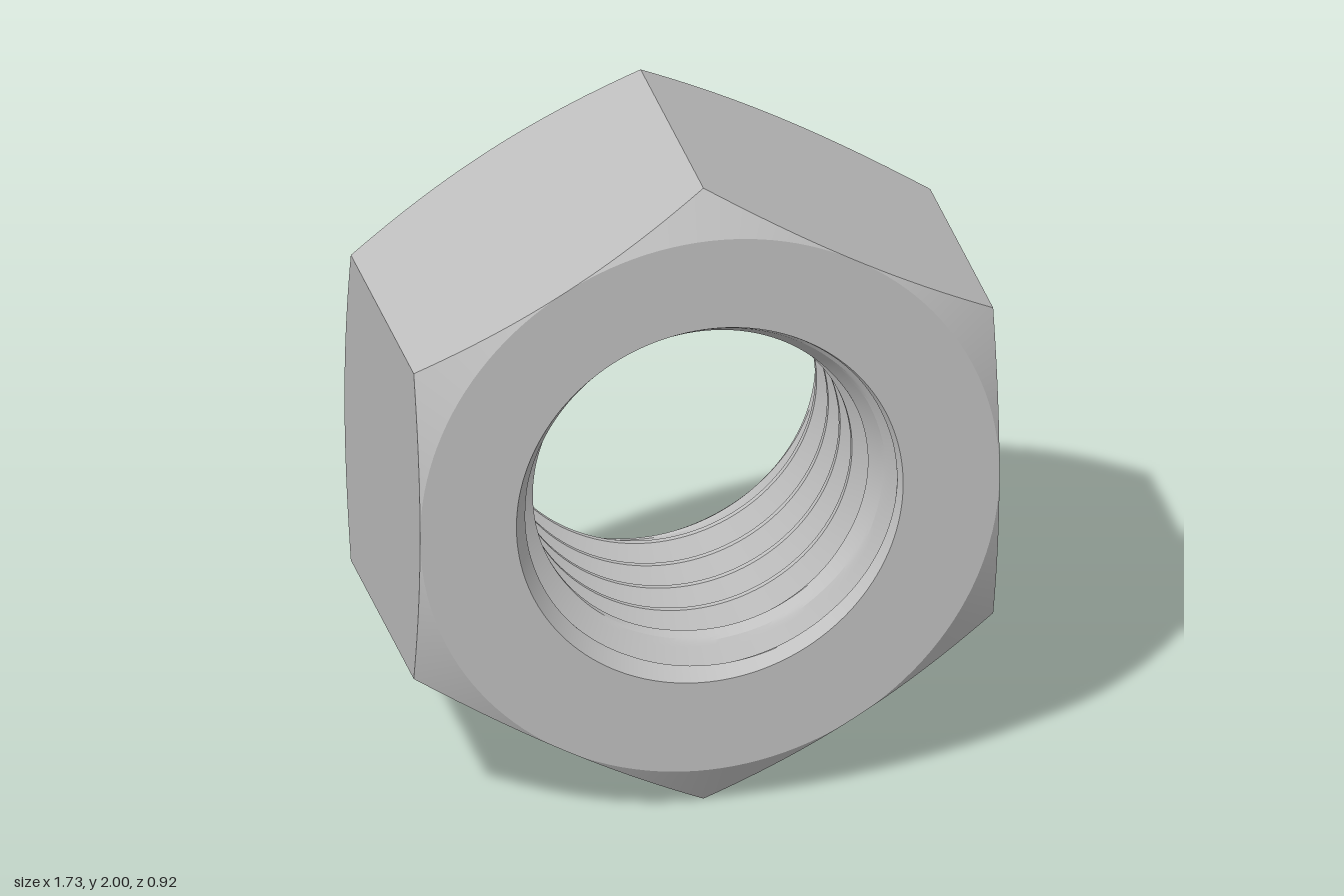
import * as THREE from 'three';
import { toCreasedNormals } from 'three/addons/utils/BufferGeometryUtils.js';

const SEGMENTS = 144;
const HALF = 0.46;        // half thickness
const FLAT = 0.866;       // centre to hexagon side
const ROOT = 0.578;       // thread groove radius, also the mouth of the bore
const CREST = 0.486;      // thread crest radius
const PITCH = 0.144;
const SLOPE = Math.tan(Math.PI / 6);
const { clamp } = THREE.MathUtils;

// Sweep a section of [radius, z] points, given as a function of the angle, around the z axis
function sweep(section) {
  const positions = [];
  const index = [];
  let rows = 0;
  for (let i = 0; i <= SEGMENTS; i++) {
    const angle = (i / SEGMENTS) * Math.PI * 2;
    const points = section(angle);
    rows = points.length;
    for (const [r, z] of points) positions.push(r * Math.cos(angle), r * Math.sin(angle), z);
  }
  for (let i = 0; i < SEGMENTS; i++) {
    for (let j = 0; j < rows - 1; j++) {
      const a = i * rows + j;
      const b = a + rows;
      index.push(a, a + 1, b, a + 1, b + 1, b);
    }
  }
  const geometry = new THREE.BufferGeometry();
  geometry.setAttribute('position', new THREE.Float32BufferAttribute(positions, 3));
  geometry.setIndex(index);
  return toCreasedNormals(geometry, 0.35);
}

// Hexagon with a point at the top, its corners cut by a 30 degree cone
function hexSection(angle) {
  const sector = Math.PI / 3;
  const fromMiddle = angle - Math.round(angle / sector) * sector;
  const r = FLAT / Math.cos(fromMiddle);
  const z = HALF - (r - FLAT) * SLOPE;
  return [[ROOT, HALF], [FLAT, HALF], [r, z], [r, -z], [FLAT, -HALF], [ROOT, -HALF]];
}

// Right-handed V thread, opened by a cone at both ends
const START = 0.276;      // groove centre at angle zero
const ROOT_HALF = 0.004;
const FLANK_END = 0.063;
const FLANK_STEPS = 8;

function boreRadius(z, angle) {
  const turn = (z - START) / PITCH - angle / (Math.PI * 2);
  const d = Math.abs(turn - Math.round(turn)) * PITCH;
  const k = clamp((d - ROOT_HALF) / (FLANK_END - ROOT_HALF), 0, 1);
  const thread = ROOT + (CREST - ROOT) * k;
  const cone = ROOT - (HALF - Math.abs(z)) * SLOPE;
  return Math.max(thread, cone);
}

const grooveRows = [];
for (const side of [-1, 1]) {
  for (let s = 0; s <= FLANK_STEPS; s++) {
    const f = side < 0 ? 1 - s / FLANK_STEPS : s / FLANK_STEPS;
    grooveRows.push(side * (ROOT_HALF + (FLANK_END - ROOT_HALF) * f));
  }
}

function boreSection(angle) {
  const points = [];
  for (let k = -7; k <= 2; k++) {
    const centre = START + PITCH * (k + angle / (Math.PI * 2));
    for (const offset of grooveRows) {
      const z = clamp(centre + offset, -HALF, HALF);
      points.push([boreRadius(z, angle), z]);
    }
  }
  return points;
}

export function createModel() {
  const group = new THREE.Group();
  group.name = 'hexNut';

  const steel = new THREE.MeshStandardMaterial({ color: 0xc0c0c0 });
  steel.name = 'steel grey';

  const parts = { hexBody: hexSection, threadedBore: boreSection };
  for (const [name, section] of Object.entries(parts)) {
    const mesh = new THREE.Mesh(sweep(section), steel);
    mesh.name = name;
    mesh.position.y = 1;
    group.add(mesh);
  }
  return group;
}
